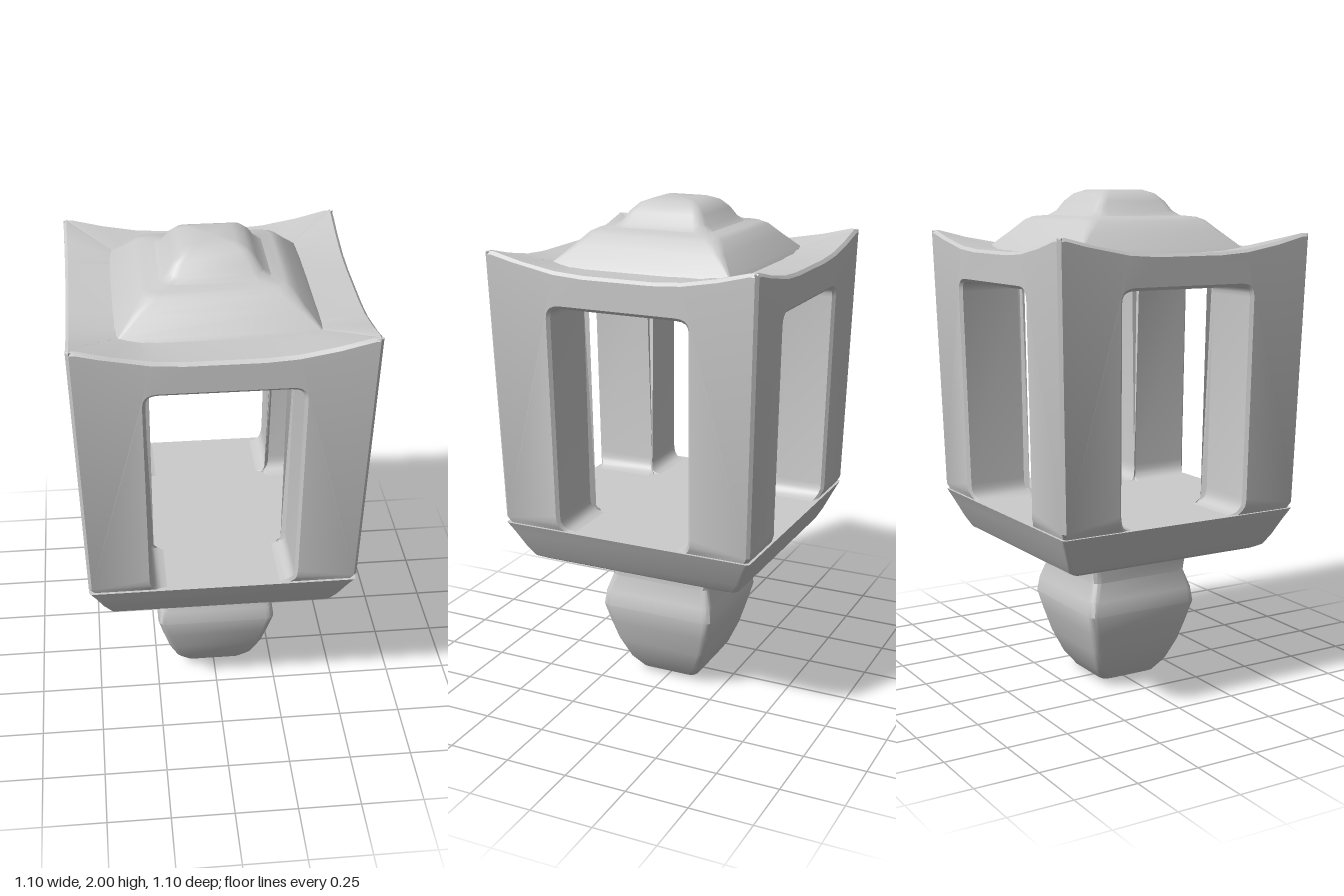
import * as THREE from 'three';
import { toCreasedNormals } from 'three/addons/utils/BufferGeometryUtils.js';

const material = new THREE.MeshStandardMaterial({ color: 0xcccccc });
const BEVEL = 0.012;
const DEPTH = 0.265;

// Half width of the lantern body at a height
function bodyHalf(y) {
  return y >= 0.77 ? 0.527 + (y - 0.77) * 0.023 : 0.51 + (y - 0.745) * 0.5;
}

// Stacked squares with rounded corners; each row is [half width, y, corner radius]
function squareLoft(name, rows) {
  const positions = [], index = [], steps = 3, n = 4 * (steps + 1);
  for (const [half, y, r] of rows) {
    for (let c = 0; c < 4; c++) {
      const mid = Math.PI / 4 + c * Math.PI / 2;
      const cx = Math.sign(Math.cos(mid)) * (half - r);
      const cz = Math.sign(Math.sin(mid)) * (half - r);
      for (let s = 0; s <= steps; s++) {
        const a = c * Math.PI / 2 + (s / steps) * Math.PI / 2;
        positions.push(cx + Math.cos(a) * r, y, cz + Math.sin(a) * r);
      }
    }
  }
  const last = rows.length - 1;
  const bottom = rows.length * n, top = bottom + 1;
  positions.push(0, rows[0][1], 0, 0, rows[last][1], 0);
  for (let i = 0; i < n; i++) {
    const j = (i + 1) % n;
    for (let k = 0; k < last; k++) {
      const a = k * n + i, b = k * n + j;
      index.push(a, a + n, b, b, a + n, b + n);
    }
    index.push(bottom, i, j, top, last * n + j, last * n + i);
  }
  const geo = new THREE.BufferGeometry();
  geo.setAttribute('position', new THREE.Float32BufferAttribute(positions, 3));
  geo.setIndex(index);
  const mesh = new THREE.Mesh(toCreasedNormals(geo, 0.5), material);
  mesh.name = name;
  return mesh;
}

// One side: two legs and a lintel around a rounded window, mitred at the corners
function wallGeometry() {
  const s = new THREE.Shape();
  s.moveTo(-0.6, 0.72);
  s.lineTo(-0.22, 0.72);
  s.lineTo(-0.22, 0.735);
  s.quadraticCurveTo(-0.286, 0.735, -0.288, 0.81);
  s.lineTo(-0.295, 1.6);
  s.quadraticCurveTo(-0.295, 1.652, -0.235, 1.652);
  s.lineTo(0.235, 1.652);
  s.quadraticCurveTo(0.295, 1.652, 0.295, 1.6);
  s.lineTo(0.288, 0.81);
  s.quadraticCurveTo(0.286, 0.735, 0.22, 0.735);
  s.lineTo(0.22, 0.72);
  s.lineTo(0.6, 0.72);
  s.lineTo(0.6, 0.77);
  s.lineTo(0.6, 1.822);
  // Rim dips between the raised corners
  for (const [x, y] of [[0.52, 1.823], [0.4, 1.793], [0.26, 1.768], [0.14, 1.76],
    [-0.14, 1.76], [-0.26, 1.768], [-0.4, 1.793], [-0.52, 1.823]]) s.lineTo(x, y);
  s.lineTo(-0.6, 1.822);
  s.lineTo(-0.6, 0.77);
  s.closePath();

  const geo = new THREE.ExtrudeGeometry(s, {
    depth: DEPTH - 2 * BEVEL, bevelEnabled: true, bevelSize: BEVEL,
    bevelThickness: BEVEL, bevelSegments: 1, curveSegments: 5,
  });
  const p = geo.attributes.position;
  const front = DEPTH - BEVEL;
  for (let i = 0; i < p.count; i++) {
    const x = p.getX(i), y = p.getY(i), d = front - p.getZ(i);
    const half = bodyHalf(y);
    // Trim the ends to the corner chamfer in front and to the mitre behind
    const limit = d < 0.005 ? half - BEVEL : d < 0.05 ? half : half - d;
    const inner = d > 0.1 && y > 1.7;
    p.setXYZ(i, Math.sign(x) * Math.min(Math.abs(x), limit), inner ? 1.757 : y, half - d);
  }
  geo.deleteAttribute('normal');
  geo.deleteAttribute('uv');
  return toCreasedNormals(geo, 0.45);
}

export function createModel() {
  const model = new THREE.Group();
  model.name = 'lantern';

  // Bulbous foot
  model.add(squareLoft('foot', [
    [0.08, 0, 0.03], [0.125, 0.02, 0.03], [0.165, 0.075, 0.03], [0.2, 0.16, 0.03],
    [0.225, 0.25, 0.03], [0.245, 0.33, 0.03], [0.237, 0.39, 0.03], [0.215, 0.46, 0.03],
    [0.222, 0.53, 0.03], [0.25, 0.555, 0.03], [0.31, 0.58, 0.03],
  ]));

  // Chamfered floor of the lantern
  model.add(squareLoft('base', [
    [0.415, 0.575, 0.02], [0.445, 0.592, 0.02], [0.47, 0.635, 0.02],
    [0.5, 0.7, 0.02], [0.522, 0.747, 0.015],
  ]));

  // Four window walls
  const walls = new THREE.Group();
  walls.name = 'windowWalls';
  const wall = wallGeometry();
  for (let i = 0; i < 4; i++) {
    const mesh = new THREE.Mesh(wall, material);
    mesh.name = 'windowWall' + (i + 1);
    mesh.rotation.y = i * Math.PI / 2;
    walls.add(mesh);
  }
  model.add(walls);

  // Stepped roof
  model.add(squareLoft('roof', [
    [0.385, 1.75, 0.005], [0.365, 1.78, 0.008], [0.31, 1.84, 0.03], [0.275, 1.882, 0.05],
    [0.25, 1.895, 0.05], [0.205, 1.9, 0.05], [0.18, 1.918, 0.045], [0.155, 1.955, 0.035],
    [0.125, 1.985, 0.03], [0.085, 2, 0.02],
  ]));
  return model;
}
